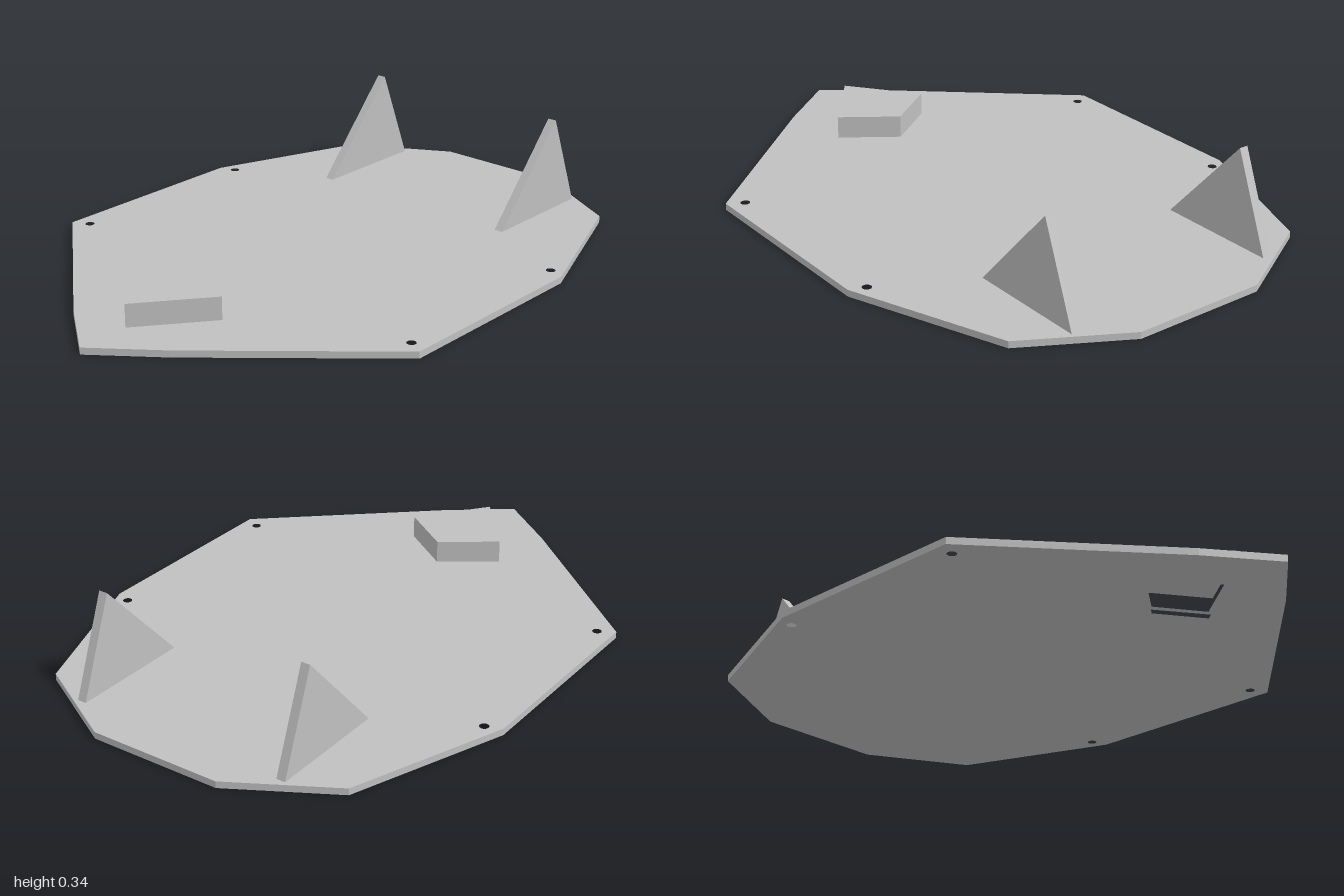
import * as THREE from 'three';

const PLATE = 0.022, CEILING = 0.077, TOP = 0.097;

// Mirror a half outline (listed from -x to +x, z >= 0) across the x axis
function mirroredOutline(half) {
  const back = half.filter(([, z]) => z > 0).reverse().map(([x, z]) => [x, -z]);
  return [...half, ...back].map(([x, z]) => new THREE.Vector2(x, z));
}

// Extrude a plan shape upward from y0 to y1
function slab(shape, y0, y1) {
  const geo = new THREE.ExtrudeGeometry(shape, { depth: y1 - y0, bevelEnabled: false, curveSegments: 8 });
  return geo.rotateX(-Math.PI / 2).translate(0, y0, 0);
}

export function createModel() {
  const model = new THREE.Group();
  const grey = new THREE.MeshStandardMaterial({ color: 0xc0c0c0 });
  grey.name = 'light grey';
  const add = (name, geo) => {
    const mesh = new THREE.Mesh(geo, grey);
    mesh.name = name;
    model.add(mesh);
    return mesh;
  };

  const deckOutline = mirroredOutline([
    [-1, 0], [-0.845, 0.203], [-0.385, 0.733], [0.315, 0.733], [0.82, 0.543], [1, 0.222],
  ]);
  const outerKite = mirroredOutline([[-0.825, 0], [-0.602, 0.173], [-0.48, 0]]);
  const innerKite = mirroredOutline([[-0.792, 0], [-0.605, 0.145], [-0.505, 0]]);

  // Deck plate with four screw holes and the pocket opening
  const deck = new THREE.Shape(deckOutline);
  deck.holes.push(new THREE.Path(innerKite));
  for (const x of [-0.355, 0.335]) {
    for (const z of [-0.68, 0.68]) {
      deck.holes.push(new THREE.Path().absarc(x, z, 0.015, 0, Math.PI * 2, true));
    }
  }
  add('deckPlate', slab(deck, 0, PLATE));

  // Hollow kite-shaped housing, open underneath
  const wall = new THREE.Shape(outerKite);
  wall.holes.push(new THREE.Path(innerKite));
  add('housingWalls', slab(wall, PLATE, CEILING));
  add('housingLid', slab(new THREE.Shape(outerKite), CEILING, TOP));

  // Pair of upright triangular fins
  const fin = new THREE.Shape([
    new THREE.Vector2(0.49, PLATE), new THREE.Vector2(0.895, PLATE), new THREE.Vector2(0.772, 0.335),
  ]);
  const finGeo = new THREE.ExtrudeGeometry(fin, { depth: 0.03, bevelEnabled: false });
  add('leftFin', finGeo).position.z = 0.352;
  add('rightFin', finGeo).position.z = -0.382;

  return model;
}
